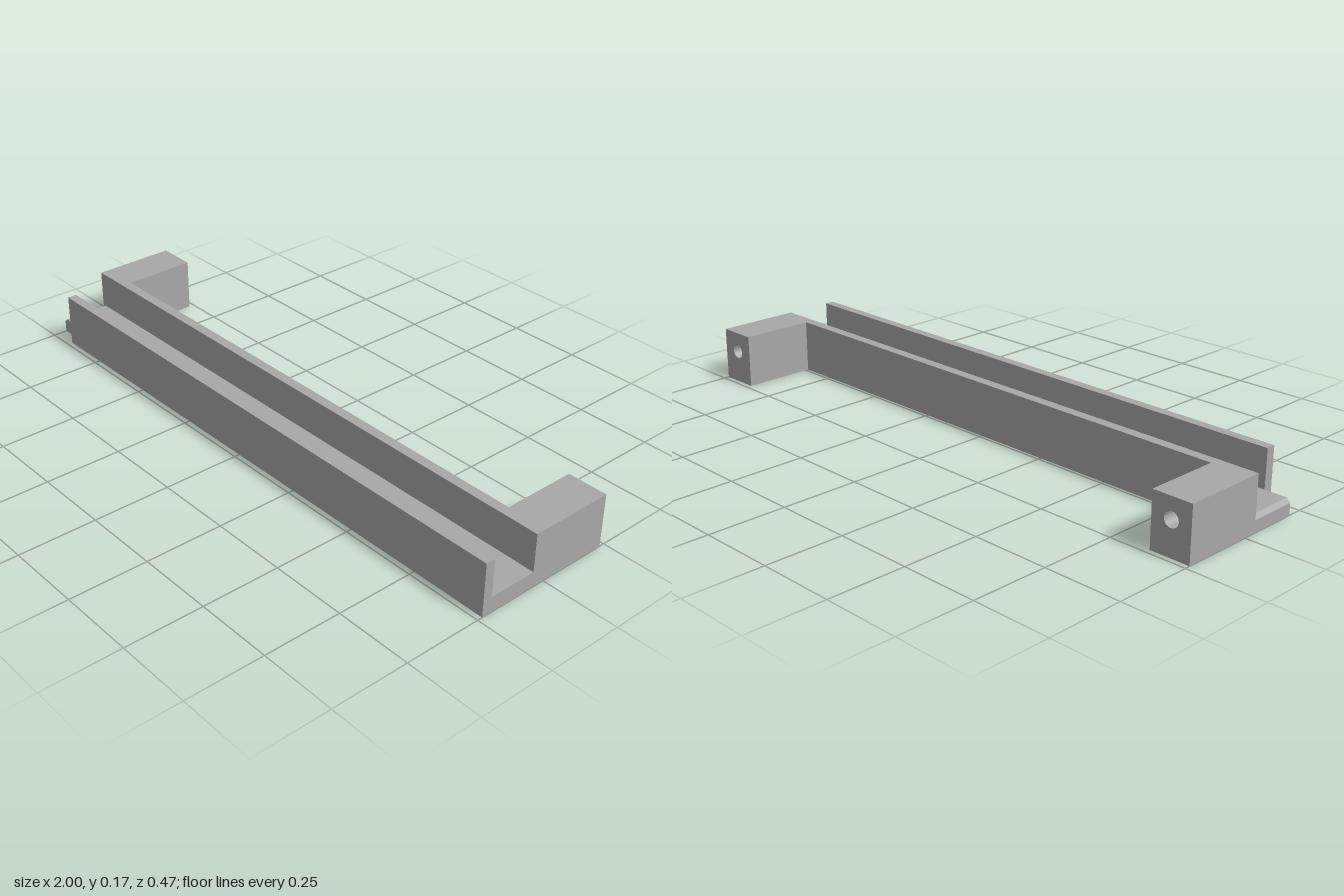
import * as THREE from 'three';
import { toCreasedNormals } from 'three/addons/utils/BufferGeometryUtils.js';

const H = 0.173;          // overall height
const FLOOR = 0.05;       // channel floor height
const BACK = -0.233, FRONT = 0.233;
const WALL_BACK = 0.01, GROOVE_BACK = 0.043, GROOVE_FRONT = 0.202;
const NOTCH_X = -0.915;   // where the front wall stops
const ARM_W = 0.13, HOLE_DEPTH = 0.12;

const shapeOf = (pts) => new THREE.Shape(pts.map(([x, y]) => new THREE.Vector2(x, y)));

const extrude = (shape, depth) =>
  new THREE.ExtrudeGeometry(shape, { depth, bevelEnabled: false, curveSegments: 24 });

export function createModel() {
  const group = new THREE.Group();
  const grey = new THREE.MeshStandardMaterial({ color: 0xa8a8a8 });
  grey.name = 'grey';

  const add = (name, geometry, parent = group) => {
    const mesh = new THREE.Mesh(geometry, grey);
    mesh.name = name;
    parent.add(mesh);
    return mesh;
  };

  // U-shaped channel, section drawn in (-z, y) and run along x
  const section = shapeOf([
    [-FRONT, 0], [-WALL_BACK, 0], [-WALL_BACK, H], [-GROOVE_BACK, H],
    [-GROOVE_BACK, FLOOR], [-GROOVE_FRONT, FLOOR], [-GROOVE_FRONT, H], [-FRONT, H],
  ]);
  const channel = extrude(section, 1 - NOTCH_X);
  channel.rotateY(Math.PI / 2);
  channel.translate(NOTCH_X, 0, 0);
  add('channel', channel);

  // Back wall continues past the notch
  const wallEnd = new THREE.BoxGeometry(NOTCH_X + 1, H, GROOVE_BACK - WALL_BACK);
  wallEnd.translate((NOTCH_X - 1) / 2, H / 2, (GROOVE_BACK + WALL_BACK) / 2);
  add('backWallEnd', wallEnd);

  // Floor tab with a chamfered end
  const c = 0.012;
  const tab = extrude(
    shapeOf([[-1, 0], [NOTCH_X, 0], [NOTCH_X, FLOOR], [-1 + c, FLOOR], [-1, FLOOR - c]]),
    GROOVE_FRONT - GROOVE_BACK);
  tab.translate(0, 0, GROOVE_BACK);
  add('floorTab', tab);

  // Mounting arms with blind screw holes in their rear faces
  for (const side of [-1, 1]) {
    const arm = new THREE.Group();
    arm.name = side > 0 ? 'leftArm' : 'rightArm';
    arm.position.x = side * (1 - ARM_W / 2);
    group.add(arm);

    const face = shapeOf([[-ARM_W / 2, 0], [ARM_W / 2, 0], [ARM_W / 2, H], [-ARM_W / 2, H]]);
    face.holes.push(new THREE.Path().absarc(0, 0.108, 0.024, 0, Math.PI * 2, true));
    const rear = toCreasedNormals(extrude(face, HOLE_DEPTH), 0.6);
    rear.translate(0, 0, BACK);
    add('drilledEnd', rear, arm);

    const z0 = BACK + HOLE_DEPTH;
    const root = new THREE.BoxGeometry(ARM_W, H, WALL_BACK - z0);
    root.translate(0, H / 2, (WALL_BACK + z0) / 2);
    add('armRoot', root, arm);
  }
  return group;
}
